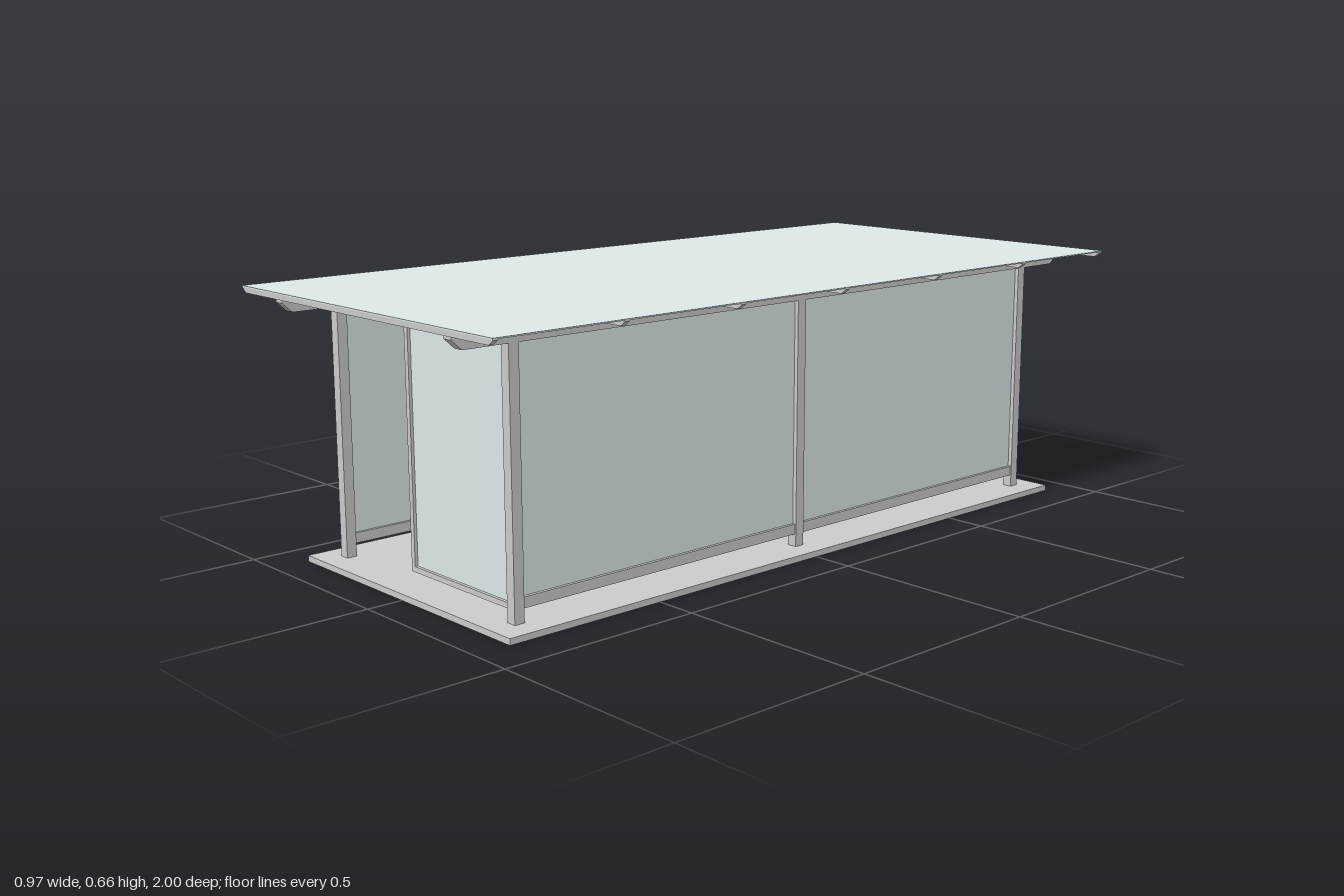
import * as THREE from 'three';

const grey = new THREE.MeshStandardMaterial({ color: 0xcccccc });
const glass = new THREE.MeshStandardMaterial({ color: 0xdde8e8 });
const wood = new THREE.MeshStandardMaterial({ color: 0x9a6450 });

function box(parent, name, size, pos, material = grey) {
  const mesh = new THREE.Mesh(new THREE.BoxGeometry(...size), material);
  mesh.name = name;
  mesh.position.set(...pos);
  parent.add(mesh);
  return mesh;
}

// Bar along x, centred, with both ends cut back at the underside
function bevelledBar(name, halfLength, height, width, cut) {
  const shape = new THREE.Shape([
    new THREE.Vector2(-halfLength + cut, 0), new THREE.Vector2(halfLength - cut, 0),
    new THREE.Vector2(halfLength, height * 0.75), new THREE.Vector2(halfLength, height),
    new THREE.Vector2(-halfLength, height), new THREE.Vector2(-halfLength, height * 0.75),
  ]);
  const geometry = new THREE.ExtrudeGeometry(shape, { depth: width, bevelEnabled: false });
  geometry.translate(0, 0, -width / 2);
  const mesh = new THREE.Mesh(geometry, grey);
  mesh.name = name;
  return mesh;
}

// Framed pane in the xy plane, standing on its own origin
function framedPanel(name, width, height, bar, depth) {
  const group = new THREE.Group();
  group.name = name;
  const shape = new THREE.Shape([
    new THREE.Vector2(-width / 2, 0), new THREE.Vector2(width / 2, 0),
    new THREE.Vector2(width / 2, height), new THREE.Vector2(-width / 2, height),
  ]);
  const w = width / 2 - bar;
  shape.holes.push(new THREE.Path([
    new THREE.Vector2(-w, bar), new THREE.Vector2(-w, height - bar),
    new THREE.Vector2(w, height - bar), new THREE.Vector2(w, bar),
  ]));
  const geometry = new THREE.ExtrudeGeometry(shape, { depth, bevelEnabled: false });
  geometry.translate(0, 0, -depth / 2);
  const frame = new THREE.Mesh(geometry, grey);
  frame.name = 'panelFrame';
  group.add(frame);
  box(group, 'pane', [2 * w, height - 2 * bar, 0.005], [0, height / 2, 0], glass);
  return group;
}

export function createModel() {
  const model = new THREE.Group();
  model.name = 'shelter';
  const postX = 0.3275, postZ = 0.843, post = 0.026;

  box(model, 'floorSlab', [0.796, 0.015, 1.824], [0, 0.0075, 0]);

  for (const side of [-1, 1]) {
    // Posts and the long beam they carry
    for (const z of [-postZ, 0, postZ]) {
      box(model, 'post', [post, 0.61, post], [side * postX, 0.315, z]);
    }
    const beam = bevelledBar('roofBeam', 0.995, 0.03, post, 0.025);
    beam.rotation.y = Math.PI / 2;
    beam.position.set(side * postX, 0.615, 0);
    model.add(beam);

    // Two glazed bays per long wall
    for (const end of [-1, 1]) {
      const panel = framedPanel('sidePanel', postZ + 0.024, 0.597, 0.025, 0.02);
      panel.rotation.y = Math.PI / 2;
      panel.position.set(side * postX, 0.046, end * postZ / 2);
      model.add(panel);
    }

    // Half-width screen at each end
    const screen = framedPanel('endScreen', 0.37, 0.582, 0.013, 0.02);
    screen.position.set(0.14, 0.045, side * postZ);
    model.add(screen);
  }

  // Rafters under the flat roof sheet
  for (let i = -3; i <= 3; i++) {
    const rafter = bevelledBar('rafter', 0.484, 0.014, 0.012, 0.014);
    rafter.position.set(0, 0.645, i * 0.331);
    model.add(rafter);
  }
  box(model, 'roofSheet', [0.97, 0.003, 2], [0, 0.6595, 0], glass);

  // Slatted bench hung from the closed long wall
  const bench = new THREE.Group();
  bench.name = 'bench';
  for (let i = 0; i < 3; i++) {
    box(bench, 'benchSlat', [0.036, 0.012, 1.56], [0.195 + i * 0.044, 0.15, 0], wood);
  }
  for (const z of [-0.7, 0, 0.7]) {
    box(bench, 'benchBracket', [0.14, 0.014, 0.016], [0.25, 0.137, z]);
  }
  model.add(bench);
  return model;
}
